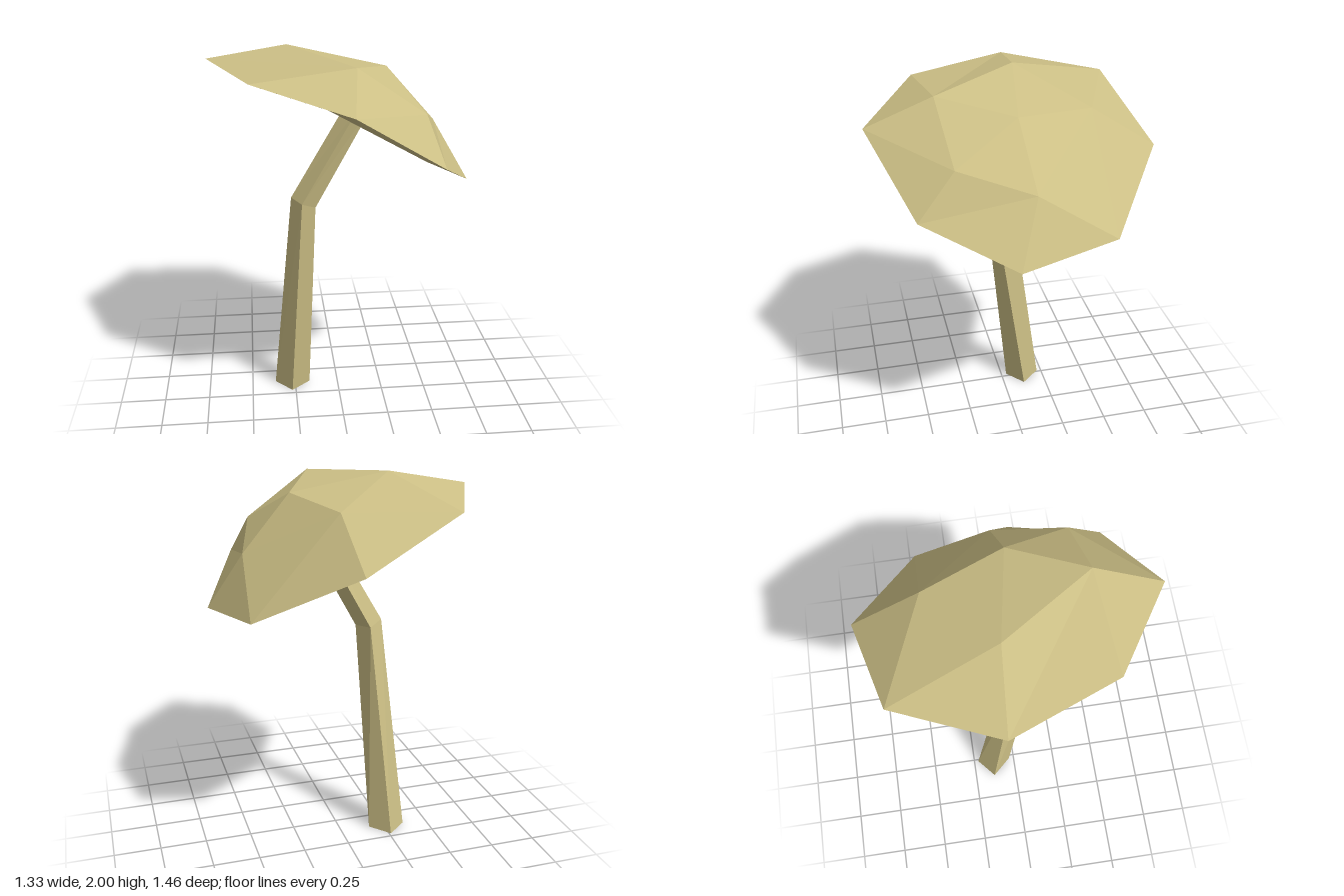
import * as THREE from 'three';

const skin = new THREE.MeshStandardMaterial({ color: 0xcdc086 });
skin.name = 'khaki';

// Faceted mesh from named corners and polygons (each polygon is fanned into triangles)
function facetMesh(name, corners, faces) {
  const pos = [];
  for (const face of faces) {
    for (let i = 1; i < face.length - 1; i++) {
      for (const k of [face[0], face[i], face[i + 1]]) pos.push(...corners[k]);
    }
  }
  const geo = new THREE.BufferGeometry();
  geo.setAttribute('position', new THREE.Float32BufferAttribute(pos, 3));
  geo.computeVertexNormals();
  const mesh = new THREE.Mesh(geo, skin);
  mesh.name = name;
  return mesh;
}

// Cap: eight-sided tilted rim A-H, domed upper corners P, shallow underside corners U around hollow M
function makeCap() {
  const corners = {
    A: [0.08, 1.63, -0.73], B: [0.535, 1.365, -0.405], C: [0.66, 1.315, 0.1], D: [0.45, 1.515, 0.54],
    E: [0, 1.815, 0.725], F: [-0.455, 1.91, 0.43], G: [-0.665, 1.93, -0.095], H: [-0.435, 1.87, -0.595],
    P1: [0.09, 1.86, -0.385], P2: [0.49, 1.613, -0.015], P3: [0.385, 1.73, 0.35],
    P4: [0.045, 1.965, 0.385], P5: [-0.26, 2, -0.065], P6: [0.235, 1.9, 0.02],
    U1: [-0.04, 1.68, -0.575], U2: [0.39, 1.43, -0.45], U3: [-0.1, 1.8, 0.5], U4: [0.4, 1.48, 0.3],
    M: [0.1, 1.68, 0],
  };
  const faces = [
    // dome
    'G F P4 P5', 'F E P4', 'E D P3 P4', 'D C P2 P3', 'C B P2', 'B A P1 P2', 'A H P1', 'H G P5 P1',
    'P5 P6 P1', 'P5 P4 P6', 'P6 P4 P3 P2', 'P1 P6 P2',
    // underside
    'A B U2', 'A U2 U1', 'B C U2', 'C U4 U2', 'C D U4', 'D E U4', 'E U3 U4', 'E F U3',
    'F G U3', 'G U1 U3', 'G H U1', 'H A U1',
    'U1 U2 M', 'U2 U4 M', 'U4 U3 M', 'U3 U1 M',
  ].map((f) => f.split(' '));
  return facetMesh('cap', corners, faces);
}

// Stem: bent four-sided prism; each ring lists its left, front, right and back corners
function makeStem() {
  const rings = [
    [[-0.365, 0, -0.135], [-0.27, 0, -0.03], [-0.165, 0, -0.12], [-0.26, 0, -0.225]],
    [[-0.255, 1.205, -0.01], [-0.203, 1.2, 0.093], [-0.13, 1.165, 0.05], [-0.18, 1.175, -0.055]],
    [[0.05, 1.73, 0], [0.105, 1.73, 0.09], [0.18, 1.73, 0.05], [0.125, 1.73, -0.045]],
  ];
  const faces = [[3, 2, 1, 0], [8, 9, 10, 11]];
  for (let r = 0; r < 2; r++) {
    for (let i = 0; i < 4; i++) {
      const a = r * 4 + i, b = r * 4 + (i + 1) % 4;
      faces.push([a, b, b + 4, a + 4]);
    }
  }
  return facetMesh('stem', rings.flat(), faces);
}

export function createModel() {
  const group = new THREE.Group();
  group.name = 'mushroom';
  group.add(makeStem(), makeCap());
  return group;
}
